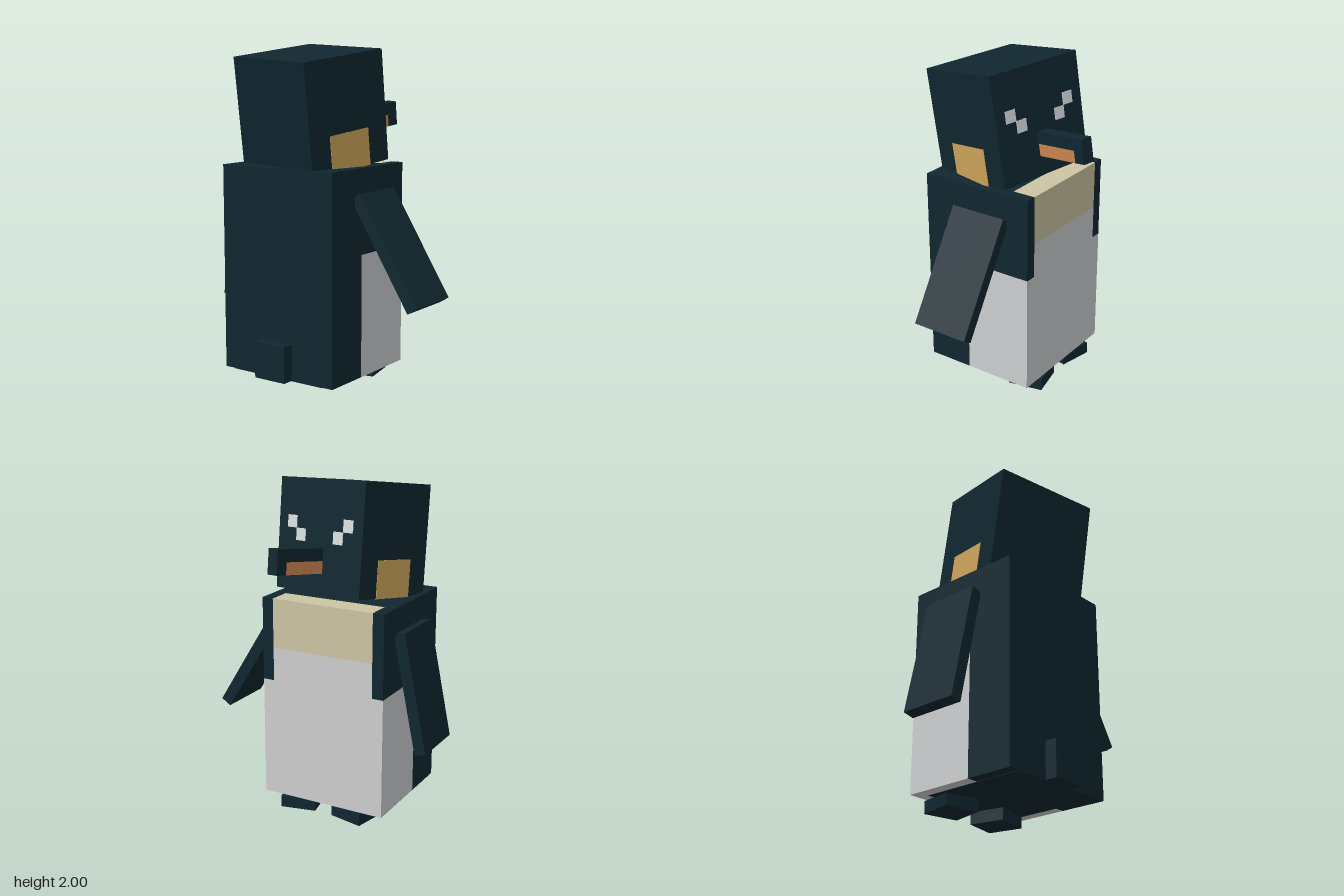
import * as THREE from 'three';

const paint = (name, color) => {
  const m = new THREE.MeshStandardMaterial({ color });
  m.name = name;
  return m;
};

export function createModel() {
  const dark = paint('dark navy feathers', 0x10262f);
  const white = paint('white belly', 0xcdcecf);
  const cream = paint('cream chest', 0xccc4a3);
  const tan = paint('golden cheek', 0xcca45a);
  const orange = paint('orange bill', 0xcd8552);
  const pale = paint('pale eye', 0xd3d8da);

  const model = new THREE.Group();
  model.name = 'blockyPenguin';

  // Box given by its limits on each axis
  const block = (parent, name, mat, [x0, x1], [y0, y1], [z0, z1]) => {
    const mesh = new THREE.Mesh(new THREE.BoxGeometry(x1 - x0, y1 - y0, z1 - z0), mat);
    mesh.position.set((x0 + x1) / 2, (y0 + y1) / 2, (z0 + z1) / 2);
    mesh.name = name;
    parent.add(mesh);
    return mesh;
  };

  // Body: flush blocks, one for each colour area
  const body = new THREE.Group();
  body.name = 'body';
  model.add(body);
  const bottom = 0.074, waist = 0.8, collar = 1.005, top = 1.3;
  const back = -0.44, seam = -0.152, chest = 0.136, front = 0.28;
  const zMin = -0.497, zMax = 0.292, zIn0 = -0.427, zIn1 = 0.222;
  block(body, 'back', dark, [back, seam], [bottom, top], [zMin, zMax]);
  block(body, 'belly', white, [seam, front], [bottom, waist], [zMin, zMax]);
  block(body, 'shoulders', dark, [seam, chest], [waist, top], [zMin, zMax]);
  block(body, 'lowerChest', white, [chest, front], [waist, collar], [zIn0, zIn1]);
  block(body, 'upperChest', cream, [chest, front], [collar, top], [zIn0, zIn1]);
  block(body, 'chestEdge', dark, [chest, front], [waist, top], [zMin, zIn0]);
  block(body, 'chestEdge', dark, [chest, front], [waist, top], [zIn1, zMax]);
  block(body, 'underside', dark, [back, 0.208], [bottom - 0.003, bottom + 0.001], [zIn0, zIn1]);
  block(body, 'tail', dark, [-0.512, back], [bottom, 0.29], [-0.21, 0.005]);
  block(body, 'neck', dark, [-0.3, 0.08], [1.28, 1.36], [-0.25, 0.05]);

  // Flippers, spread by different amounts
  for (const [name, y, z, tilt] of [
    ['leftFlipper', 0.84, 0.485, -0.557],
    ['rightFlipper', 0.803, -0.595, 0.205],
  ]) {
    const flipper = new THREE.Mesh(new THREE.BoxGeometry(0.357, 0.72, 0.07), dark);
    flipper.position.set(-0.043, y, z);
    flipper.rotation.x = tilt;
    flipper.name = name;
    model.add(flipper);
  }

  // Feet, toes turned inward
  for (const [name, z, turn] of [['leftFoot', 0.085, 0.21], ['rightFoot', -0.282, -0.21]]) {
    const foot = new THREE.Mesh(new THREE.BoxGeometry(0.215, 0.074, 0.215), dark);
    foot.position.set(0.175, 0.037, z);
    foot.rotation.y = turn;
    foot.name = name;
    model.add(foot);
  }

  // Head: local x points along the bill; turned and tipped up
  const head = new THREE.Group();
  head.name = 'head';
  const ahead = new THREE.Vector3(0.96, 0.137, 0.24).normalize();
  const up = new THREE.Vector3(-0.147, 0.989, 0.015);
  const side = new THREE.Vector3().crossVectors(ahead, up).normalize();
  up.crossVectors(side, ahead);
  head.quaternion.setFromRotationMatrix(new THREE.Matrix4().makeBasis(ahead, up, side));
  head.position.set(-0.122, 1.627, -0.088);
  model.add(head);
  const px = 0.072;
  block(head, 'skull', dark, [-4 * px, 4 * px], [-4.5 * px, 4.5 * px], [-4.5 * px, 4.5 * px]);

  // Cheeks wrap under the jaw; each eye is two stepped squares
  for (const s of [1, -1]) {
    const cheek = block(head, 'cheek', tan, [-2 * px, 2 * px], [-0.327, -1.5 * px], [3.5 * px, 0.327]);
    cheek.position.z *= s;
    for (const [col, row] of [[3, 1], [2, 0]]) {
      block(head, 'eye', pale, [0.286, 0.292],
        [(row - 0.5) * px, (row + 0.5) * px],
        [(s * col - 0.5) * px, (s * col + 0.5) * px]);
    }
  }

  // Bill: dark upper half with a hooked tip, orange lower half
  const width = [-px / 2, px / 2];
  block(head, 'upperBill', dark, [0.286, 0.648], [-0.137, -0.065], width);
  block(head, 'billTip', dark, [0.576, 0.648], [-0.209, -0.137], width);
  block(head, 'lowerBill', orange, [0.286, 0.576], [-0.209, -0.137], width);

  return model;
}
